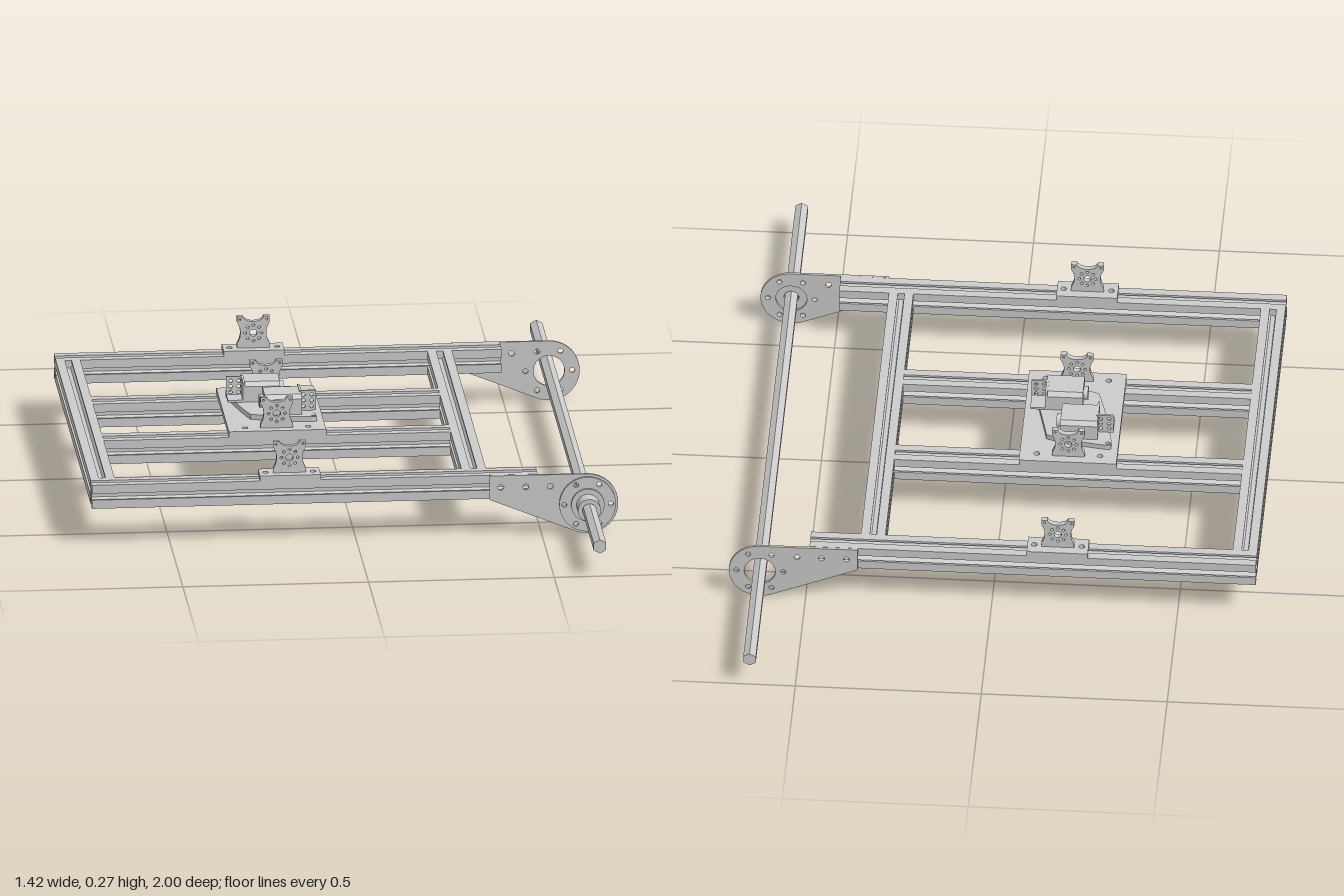
import * as THREE from 'three';

const mat = new THREE.MeshStandardMaterial({ color: 0xcccccc, side: THREE.DoubleSide });
const MX = -0.176;               // shared x centre of the mounts
const RAIL = 0.066, RAIL_Y = 0.134, TOP = 0.167;

function add(parent, name, geo, x = 0, y = 0, z = 0) {
  const m = new THREE.Mesh(geo, mat);
  m.name = name;
  m.position.set(x, y, z);
  parent.add(m);
  return m;
}

const poly = pts => new THREE.Shape(pts.map(p => new THREE.Vector2(...p)));

function hole(shape, x, y, r) {
  shape.holes.push(new THREE.Path().absarc(x, y, r, 0, Math.PI * 2, true));
  return shape;
}

const extrude = (shape, depth, curveSegments = 8) =>
  new THREE.ExtrudeGeometry(shape, { depth, bevelEnabled: false, curveSegments });

// Horizontal sheet: shape y becomes -z, thickness goes up
const sheet = (shape, t) => extrude(shape, t).rotateX(-Math.PI / 2);

const rectShape = (w, h) => poly([[-w / 2, -h / 2], [w / 2, -h / 2], [w / 2, h / 2], [-w / 2, h / 2]]);

// T-slot rail section, one side repeated four times
function railShape() {
  const h = RAIL / 2, side = [[h, -h], [h, -0.009], [h - 0.006, -0.009], [h - 0.006, -0.018], [0.012, -0.006],
    [0.012, 0.006], [h - 0.006, 0.018], [h - 0.006, 0.009], [h, 0.009]];
  const pts = [];
  for (let i = 0; i < 4; i++) {
    const c = Math.round(Math.cos(i * Math.PI / 2)), s = Math.round(Math.sin(i * Math.PI / 2));
    for (const [x, y] of side) pts.push([x * c - y * s, x * s + y * c]);
  }
  return hole(poly(pts), 0, 0, 0.006);
}

function rail(parent, name, length, x, z, alongX) {
  const g = extrude(railShape(), length).translate(0, 0, -length / 2);
  if (alongX) g.rotateY(Math.PI / 2);
  add(parent, name, g, x, RAIL_Y, z);
}

// Upright pattern plate with concave edges and a ring of holes
function uprightGeometry() {
  const s = new THREE.Shape();
  s.moveTo(-0.044, 0);
  s.lineTo(0.044, 0);
  s.lineTo(0.044, 0.014);
  s.quadraticCurveTo(0.026, 0.044, 0.044, 0.074);
  s.lineTo(0.044, 0.09);
  s.lineTo(0.028, 0.09);
  s.quadraticCurveTo(0.022, 0.076, 0, 0.076);
  s.quadraticCurveTo(-0.022, 0.076, -0.028, 0.09);
  s.lineTo(-0.044, 0.09);
  s.lineTo(-0.044, 0.074);
  s.quadraticCurveTo(-0.026, 0.044, -0.044, 0.014);
  hole(s, 0, 0.044, 0.01);
  for (let i = 0; i < 8; i++) {
    const a = i * Math.PI / 4;
    hole(s, 0.022 * Math.cos(a), 0.044 + 0.022 * Math.sin(a), 0.004);
  }
  for (const x of [-0.036, 0.036]) hole(s, x, 0.082, 0.003);
  return extrude(s, 0.015).translate(0, 0, -0.0075);
}

// Gearbox end plate: teardrop around the shaft
function endPlateGeometry(cx, cy, r) {
  const s = new THREE.Shape();
  s.moveTo(0.36, 0.167);
  s.lineTo(0.36, 0.1);
  s.absarc(cx, cy, r, -1.95, Math.PI / 2, false);
  s.closePath();
  for (const x of [0.39, 0.457, 0.523]) hole(s, x, RAIL_Y, 0.008);
  hole(s, cx, cy, 0.042);
  for (let i = 0; i < 6; i++) {
    const a = i * Math.PI / 3;
    hole(s, cx + 0.063 * Math.cos(a), cy + 0.063 * Math.sin(a), 0.007);
  }
  return extrude(s, 0.007, 24).translate(0, 0, -0.0035);
}

export function createModel() {
  const root = new THREE.Group();
  root.name = 'slottedFrame';

  // Frame rails
  const frame = new THREE.Group();
  frame.name = 'frame';
  root.add(frame);
  for (const s of [1, -1]) {
    rail(frame, 'sideRail', 1.2, -0.11, s * 0.567, true);
    rail(frame, 'innerRail', 0.935, -0.177, s * 0.167, true);
  }
  for (const x of [-0.677, 0.323]) rail(frame, 'crossRail', 1.068, x, 0, false);

  // Shaft with its end plates
  const cx = 0.623, cy = 0.083;
  const shaft = new THREE.CylinderGeometry(0.0195, 0.0195, 2, 6).toNonIndexed();
  shaft.computeVertexNormals();
  add(root, 'hexShaft', shaft.rotateX(Math.PI / 2), cx, cy, 0);
  for (const s of [1, -1]) add(root, 'endPlate', endPlateGeometry(cx, cy, 0.083), 0, 0, s * 0.604);

  // Bearing hub on the front plate
  const flange = new THREE.Shape().absarc(0, 0, 0.076, 0, Math.PI * 2);
  hole(flange, 0, 0, 0.02);
  for (let i = 0; i < 6; i++) hole(flange, 0.063 * Math.cos(i * Math.PI / 3), 0.063 * Math.sin(i * Math.PI / 3), 0.007);
  add(root, 'hubFlange', extrude(flange, 0.008, 20), cx, cy, 0.607);
  const ring = (r, d) => extrude(hole(new THREE.Shape().absarc(0, 0, r, 0, Math.PI * 2), 0, 0, 0.019), d, 12);
  add(root, 'hubShoulder', ring(0.045, 0.008), cx, cy, 0.615);
  add(root, 'hubBarrel', ring(0.031, 0.052), cx, cy, 0.62);

  // Rail mounts: foot and upright
  for (const s of [1, -1]) {
    const foot = rectShape(0.164, RAIL);
    for (const x of [-0.064, 0.064]) hole(foot, x, 0, 0.008);
    add(root, 'mountFoot', sheet(foot, 0.014), MX, TOP, s * 0.567);
    for (const z of [0.567, 0.167]) add(root, 'mountUpright', uprightGeometry(), MX, 0.179, s * z);
  }

  // Centre plate
  const plate = rectShape(0.262, 0.4);
  for (const x of [-0.085, 0.085]) for (const y of [-0.167, 0.167]) hole(plate, x, y, 0.008);
  add(root, 'centrePlate', sheet(plate, 0.016), MX, TOP, 0);

  // Drive unit: waisted base with two motors, turned copies of one another
  const drive = new THREE.Group();
  drive.name = 'driveUnit';
  drive.position.set(MX, 0.183, -0.005);
  root.add(drive);
  const base = new THREE.Shape();
  base.moveTo(-0.112, 0.13);
  base.lineTo(-0.1, 0.132);
  base.quadraticCurveTo(0, 0.12, 0.064, 0.096);
  base.quadraticCurveTo(0.08, 0.02, 0.112, -0.11);
  base.lineTo(0.112, -0.128);
  base.lineTo(0.1, -0.132);
  base.quadraticCurveTo(0, -0.12, -0.064, -0.096);
  base.quadraticCurveTo(-0.09, -0.02, -0.112, 0.11);
  for (const s of [1, -1]) hole(base, -s * 0.103, s * 0.122, 0.006);
  add(drive, 'driveBase', sheet(base, 0.014));
  const body = poly([[-0.047, 0], [0.047, 0], [0.047, 0.043], [0.036, 0.054], [-0.036, 0.054], [-0.047, 0.043]]);
  for (const s of [1, -1]) {
    const half = new THREE.Group();
    half.name = s > 0 ? 'frontMotor' : 'backMotor';
    half.rotation.y = s > 0 ? 0 : Math.PI;
    drive.add(half);
    add(half, 'motorBody', extrude(body, 0.1).rotateY(Math.PI / 2), -0.026, 0.014, 0.062);
    add(half, 'motorCap', new THREE.CylinderGeometry(0.018, 0.018, 0.012, 20).rotateZ(Math.PI / 2), -0.032, 0.04, 0.062);
    // Folded bracket with a drilled face
    const face = rectShape(0.046, 0.056);
    for (const x of [-0.011, 0.011]) for (const y of [-0.016, 0, 0.016]) hole(face, x, y, 0.005);
    add(half, 'bracketFace', extrude(face, 0.006), 0.092, 0.042, 0.068);
    add(half, 'bracketWeb', new THREE.BoxGeometry(0.006, 0.056, 0.06), 0.072, 0.042, 0.044);
    add(half, 'bracketFoot', new THREE.BoxGeometry(0.046, 0.006, 0.06), 0.092, 0.017, 0.044);
  }
  return root;
}
